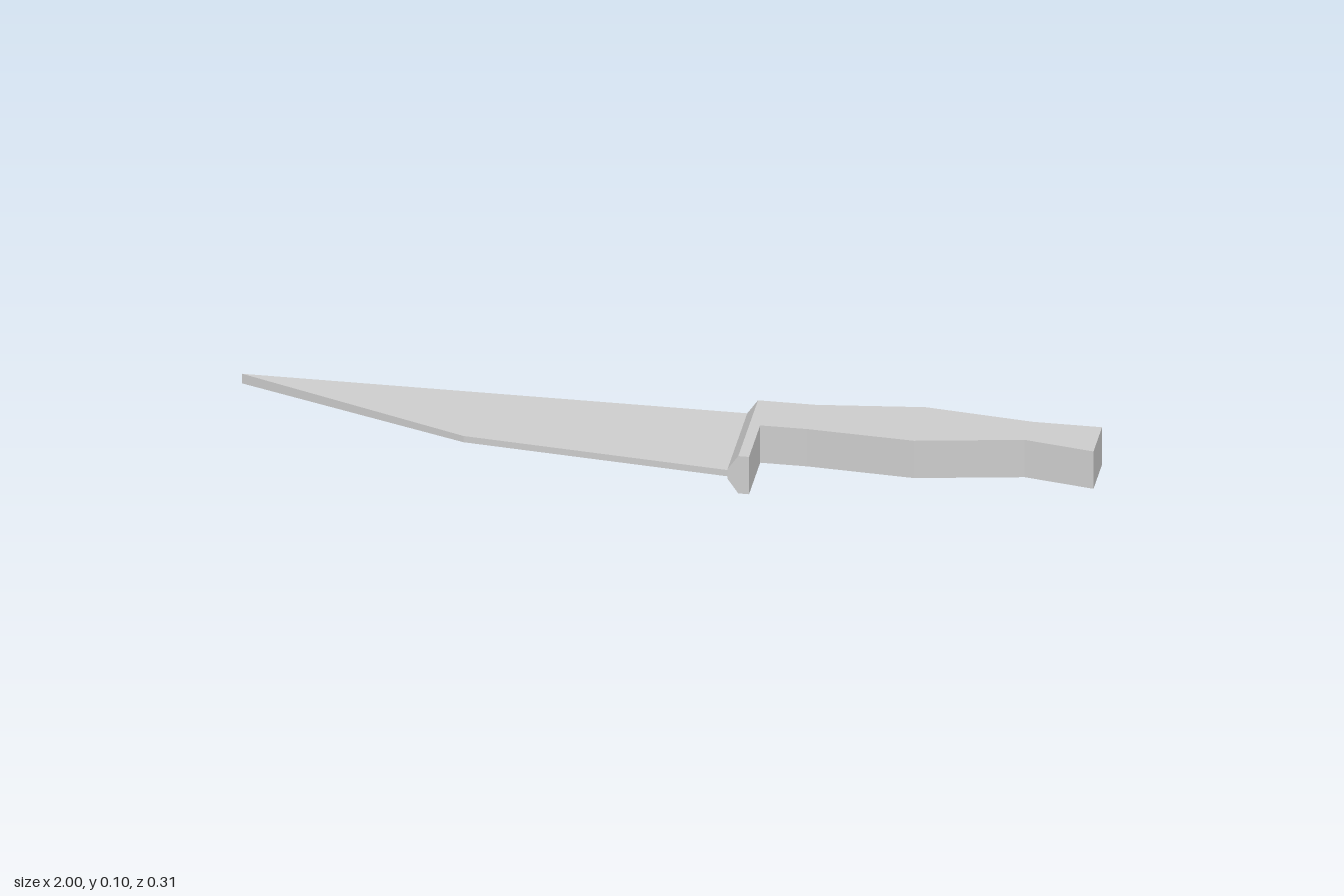
import * as THREE from 'three';

const MID = 0.0485; // height of the knife's middle plane

// Flat slab from an outline of [x, z] points, centred on the middle plane
function slab(outline, thickness) {
  const shape = new THREE.Shape(outline.map(([x, z]) => new THREE.Vector2(x, -z)));
  const geo = new THREE.ExtrudeGeometry(shape, { depth: thickness, bevelEnabled: false });
  geo.rotateX(-Math.PI / 2);
  geo.translate(0, MID - thickness / 2, 0);
  return geo;
}

export function createModel() {
  const group = new THREE.Group();
  const grey = new THREE.MeshStandardMaterial({ color: 0xcccccc });
  grey.name = 'grey';

  const add = (name, geo) => {
    const mesh = new THREE.Mesh(geo, grey);
    mesh.name = name;
    group.add(mesh);
  };

  // Blade: straight spine at the back, slightly thinner cutting edge
  const blade = slab([[-1, -0.123], [-0.45, 0.085], [0.18, 0.15], [0.18, -0.123]], 0.025);
  const pos = blade.attributes.position;
  for (let i = 0; i < pos.count; i++) {
    if (pos.getZ(i) > 0) pos.setY(i, MID + (pos.getY(i) - MID) * 0.65);
  }
  blade.computeVertexNormals();
  add('blade', blade);

  // Guard: block with a sloped front, run across the blade's width
  const profile = new THREE.Shape([
    [0.175, 0.036], [0.2, 0], [0.225, 0], [0.225, 0.097], [0.2, 0.097], [0.175, 0.061],
  ].map(([x, y]) => new THREE.Vector2(x, y)));
  const guard = new THREE.ExtrudeGeometry(profile, { depth: 0.276, bevelEnabled: false });
  guard.translate(0, 0, -0.123);
  add('guard', guard);

  // Handle: swells in the middle and flares at the butt
  add('handle', slab([
    [0.225, -0.123], [0.225, -0.003], [0.335, -0.003], [0.585, 0.013], [0.835, -0.033],
    [1, -0.003], [1, -0.123], [0.84, -0.123], [0.585, -0.153], [0.335, -0.123],
  ], 0.097));

  return group;
}
